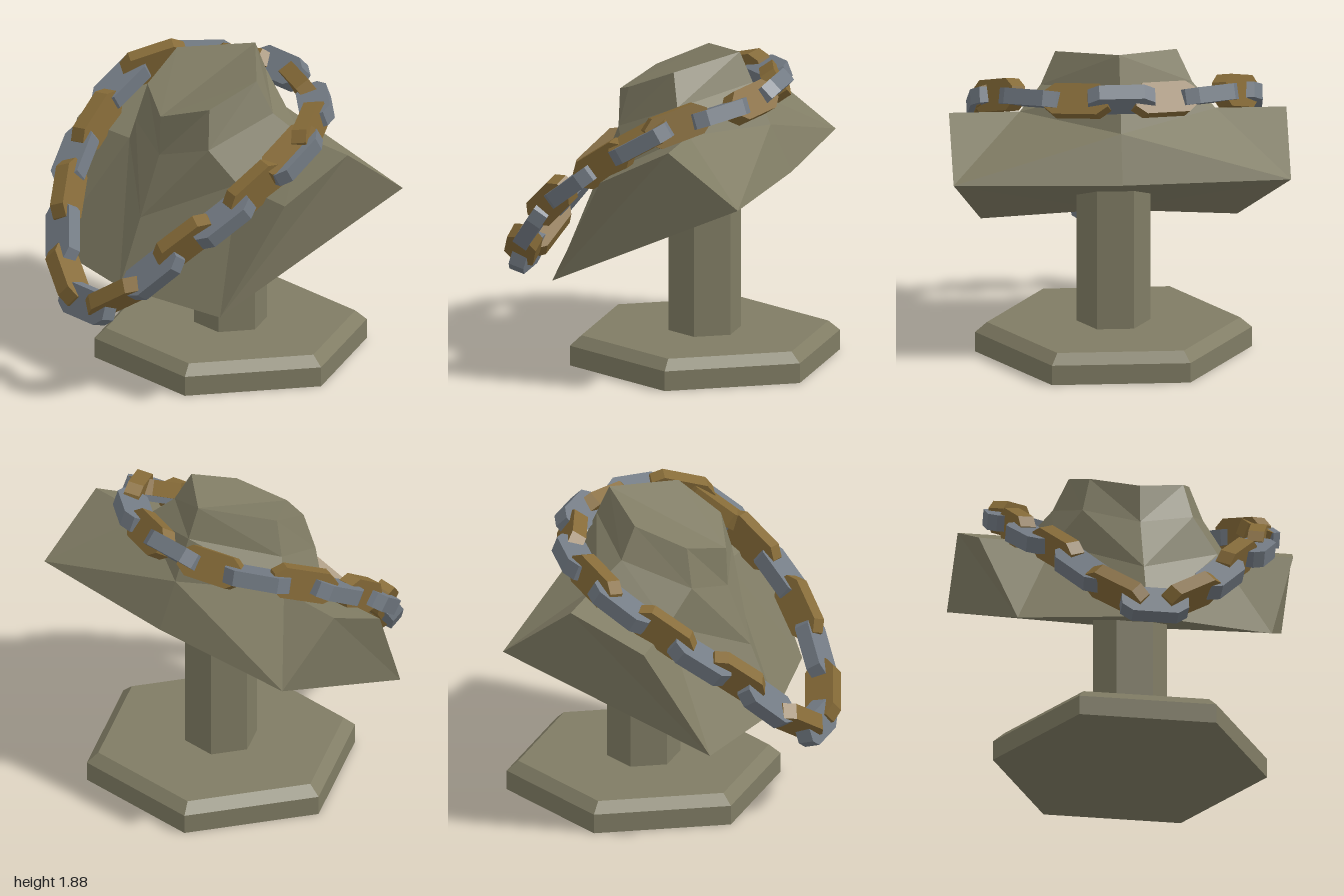
import * as THREE from 'three';

const paint = (color) => new THREE.MeshStandardMaterial({ color, flatShading: true });
const V = (p) => new THREE.Vector3(...p);

function addMesh(parent, name, geometry, material) {
  const mesh = new THREE.Mesh(geometry, material);
  mesh.name = name;
  parent.add(mesh);
  return mesh;
}

// Faceted bust: half rings running from front centre to back centre, mirrored in x
function bustGeometry() {
  const cap = [[0, 1.6, 0.29], [0.28, 1.69, 0.15], [0.36, 1.82, -0.15], [0, 1.88, -0.45]];
  const neck = [[0, 1.36, 0.3], [0.33, 1.46, 0.2], [0.45, 1.63, -0.2], [0, 1.7, -0.53]];
  const [chest, collar, shoulder, nape] =
    [[0, 1.0, 0.447], [0.49, 1.27, 0.11], [0.58, 1.5, -0.31], [0, 1.45, -0.64]];
  const [hem, hemCorner, armFront, armTop, armBack, back] =
    [[0, 0.6, 0.61], [0.76, 0.6, 0.48], [0.94, 1.27, 0.13], [1, 1.5, -0.31], [1, 1.18, -0.74], [0, 1.17, -0.77]];

  const positions = [];
  const mirror = ([x, y, z]) => [-x, y, z];
  const face = (...pts) => {
    for (let i = 1; i < pts.length - 1; i++) {
      const [a, b, c] = [pts[0], pts[i], pts[i + 1]];
      if (a === b || b === c || a === c) continue;
      positions.push(...a, ...b, ...c, ...mirror(a), ...mirror(c), ...mirror(b));
    }
  };
  const band = (lower, upper) => {
    for (let i = 0; i < lower.length - 1; i++) face(lower[i], lower[i + 1], upper[i + 1], upper[i]);
  };
  face(...cap);
  band(neck, cap);
  band([chest, collar, shoulder, nape], neck);
  band([hem, hemCorner, armFront, armTop, armBack, back],
    [chest, collar, collar, shoulder, shoulder, nape]);
  face(hemCorner, armBack, armTop, armFront); // cut-off arm
  face(hem, back, armBack, hemCorner); // underside

  const geometry = new THREE.BufferGeometry();
  geometry.setAttribute('position', new THREE.Float32BufferAttribute(positions, 3));
  geometry.computeVertexNormals();
  return geometry;
}

// Solid chain link: a long octagon, length in x, width in y, thickness in z
function linkGeometry() {
  const [l, w, cx, cy, t] = [0.2, 0.095, 0.065, 0.05, 0.095];
  const outline = [[l, w - cy], [l - cx, w], [cx - l, w], [-l, w - cy],
    [-l, cy - w], [cx - l, -w], [l - cx, -w], [l, cy - w]];
  const shape = new THREE.Shape(outline.map(([x, y]) => new THREE.Vector2(x, y)));
  return new THREE.ExtrudeGeometry(shape, { depth: t, bevelEnabled: false }).translate(0, 0, -t / 2);
}

// Turns a link along its tangent, its flat face towards the given normal; rolled links stand on edge
function orient(mesh, tangent, normal, rolled) {
  const x = tangent.clone().normalize();
  const z = normal.clone().addScaledVector(x, -normal.dot(x)).normalize();
  const y = z.clone().cross(x);
  mesh.quaternion.setFromRotationMatrix(new THREE.Matrix4().makeBasis(x, y, z));
  if (rolled) mesh.rotateX(Math.PI / 2);
}

export function createModel() {
  const model = new THREE.Group();
  model.name = 'necklaceStand';
  const stone = paint(0x807c64);
  const steel = paint(0x737b84);
  const brass = paint(0x866b38);

  // Hexagonal foot with a chamfered top, and its post
  const stand = new THREE.Group();
  stand.name = 'stand';
  stand.position.set(0.02, 0, -0.24);
  model.add(stand);
  const prism = (name, top, bottom, y0, y1) => {
    const geometry = new THREE.CylinderGeometry(top, bottom, y1 - y0, 6);
    geometry.rotateY(Math.PI / 6).translate(0, (y0 + y1) / 2, 0);
    addMesh(stand, name, geometry, stone);
  };
  prism('foot', 0.82, 0.82, 0, 0.12);
  prism('footChamfer', 0.75, 0.82, 0.12, 0.18);
  prism('post', 0.22, 0.22, 0.18, 1.15);

  addMesh(model, 'bust', bustGeometry(), stone);

  // Chain: x, y, z of each link from front to back, and the elevation its flat faces
  const half = [
    [0, 0.56, 0.86, 17], [0.22, 0.66, 0.82, 22], [0.41, 0.84, 0.7, 27], [0.53, 1.03, 0.55, 40],
    [0.67, 1.17, 0.38, 52], [0.715, 1.33, 0.17, 56], [0.775, 1.49, -0.08, 62], [0.7, 1.59, -0.27, 68],
    [0.52, 1.63, -0.47, 66], [0.255, 1.645, -0.59, 55], [0, 1.665, -0.645, 45],
  ];
  const loop = [...half, ...half.slice(1, -1).reverse().map(([x, y, z, a]) => [-x, y, z, a])];
  const chain = new THREE.Group();
  chain.name = 'chain';
  model.add(chain);
  const geometry = linkGeometry();
  const at = (i) => V(loop[(i + loop.length) % loop.length].slice(0, 3));
  const normalOf = (i) => {
    const a = THREE.MathUtils.degToRad(loop[i][3]);
    return new THREE.Vector3(0, Math.sin(a), Math.cos(a));
  };
  loop.forEach((_, i) => {
    const rolled = i % 2 === 1;
    const link = addMesh(chain, rolled ? 'brassLink' : 'steelLink', geometry, rolled ? brass : steel);
    link.position.copy(at(i));
    orient(link, at(i + 1).sub(at(i - 1)), normalOf(i), rolled);
  });

  // Closing link, lying over the steel link on the left side
  const closing = addMesh(chain, 'closingLink', geometry, brass);
  closing.position.set(0.755, 1.505, -0.07);
  orient(closing, at(7).sub(at(5)), normalOf(6).add(V([0.3, 0, 0])), false);
  return model;
}
